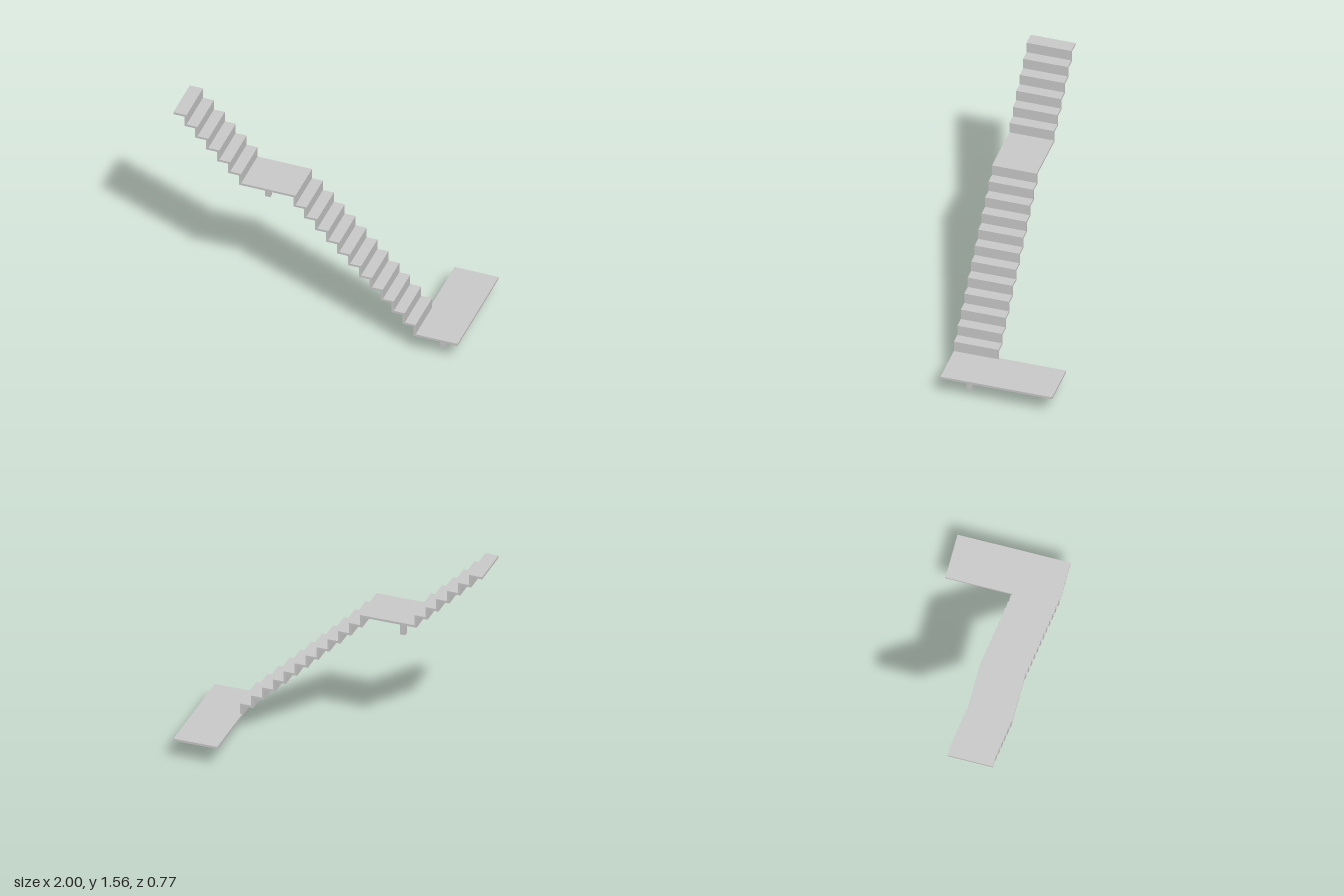
import * as THREE from 'three';

const STEP = 0.077;      // rise of each step
const GOING = 0.0768;    // run of each step
const T = 0.016;         // slab thickness
const TOP = 1.56, BASE_TOP = TOP - 18 * STEP;
const Z0 = 0.077, Z1 = 0.385;

export function createModel() {
  const group = new THREE.Group();
  const material = new THREE.MeshStandardMaterial({ color: 0xcccccc, flatShading: true });

  const add = (name, geometry) => {
    const mesh = new THREE.Mesh(geometry, material);
    mesh.name = name;
    group.add(mesh);
    return mesh;
  };
  const box = (name, x0, x1, y0, y1, z0, z1) =>
    add(name, new THREE.BoxGeometry(x1 - x0, y1 - y0, z1 - z0))
      .position.set((x0 + x1) / 2, (y0 + y1) / 2, (z0 + z1) / 2);

  // Riser positions: a flight of 6, the middle landing, then a flight of 12
  const risers = [];
  for (let i = 0; i < 6; i++) risers.push(-0.907 + i * GOING);
  for (let i = 0; i < 12; i++) risers.push(-0.14 + i * GOING);

  // Folded stair slab: upper line, then the same line offset by the thickness
  const upper = [[-1, TOP]], lower = [[-1, TOP - T]];
  risers.forEach((x, i) => {
    const y = TOP - i * STEP, last = i === risers.length - 1;
    upper.push([x, y], [x, y - STEP]);
    lower.push([x - T, y - T], [x - T, y - STEP - (last ? 0 : T)]);
  });
  const outline = [...lower, ...upper.reverse()].map(([x, y]) => new THREE.Vector2(x, y));
  const stairs = new THREE.ExtrudeGeometry(new THREE.Shape(outline), { depth: Z1 - Z0, bevelEnabled: false });
  stairs.translate(0, 0, Z0);
  add('stairs', stairs);

  // Wide platform at the foot
  box('lowerPlatform', 0.69, 1, BASE_TOP - T, BASE_TOP, -0.385, Z1);

  // Support posts under the platform and the middle landing
  const landingBottom = TOP - 6 * STEP - T;
  box('platformPost', 0.824, 0.862, 0, BASE_TOP - T, 0.212, 0.25);
  box('landingPost', -0.407, -0.369, landingBottom - 0.157, landingBottom, 0.212, 0.25);

  return group;
}
